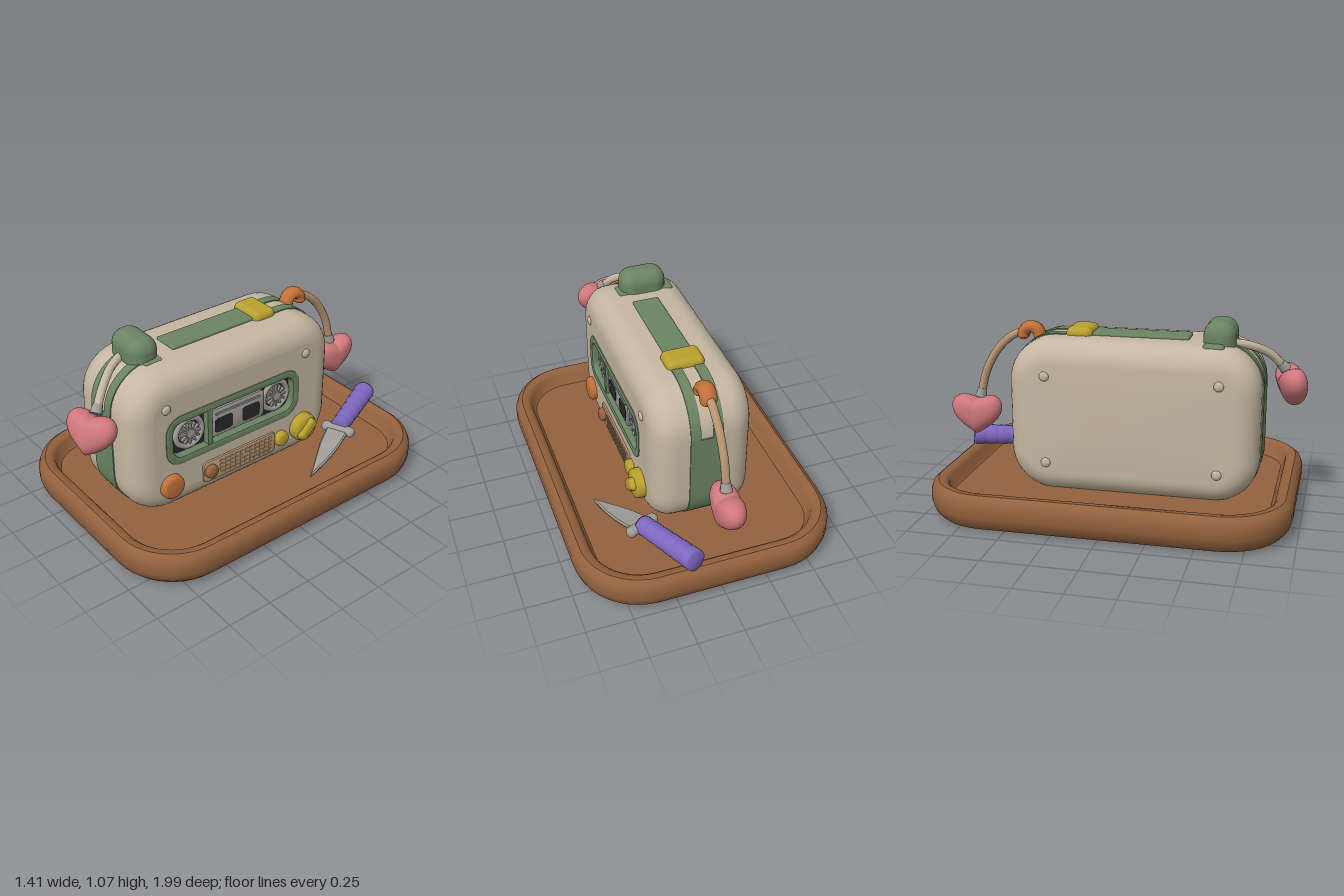
import * as THREE from 'three';
import { mergeVertices, toCreasedNormals } from 'three/addons/utils/BufferGeometryUtils.js';
import { RoundedBoxGeometry } from 'three/addons/geometries/RoundedBoxGeometry.js';

const colours = {
  cream: 0xc5b7a1, leafGreen: 0x6b8463, wood: 0x94623e, pink: 0xd0787b, purple: 0x7f67c0,
  yellow: 0xb9a02e, orange: 0xc37139, steel: 0x9f9c98, charcoal: 0x2a2a2a, tan: 0xb79672,
};

export function createModel() {
  const mat = {};
  for (const [name, color] of Object.entries(colours)) {
    mat[name] = new THREE.MeshStandardMaterial({ color });
    mat[name].name = name;
  }
  const model = new THREE.Group();
  model.name = 'cassettePlayerOnTray';

  const add = (parent, name, geo, m, x = 0, y = 0, z = 0) => {
    const mesh = new THREE.Mesh(geo, m);
    mesh.name = name;
    mesh.position.set(x, y, z);
    parent.add(mesh);
    return mesh;
  };
  const group = (name, parent = model) => {
    const g = new THREE.Group();
    g.name = name;
    parent.add(g);
    return g;
  };
  const roundRect = (cx, cy, w, h, r, Type = THREE.Shape) => {
    const s = new Type(), a = w / 2 - r, b = h / 2 - r;
    s.absarc(cx + a, cy - b, r, -Math.PI / 2, 0);
    s.absarc(cx + a, cy + b, r, 0, Math.PI / 2);
    s.absarc(cx - a, cy + b, r, Math.PI / 2, Math.PI);
    s.absarc(cx - a, cy - b, r, Math.PI, Math.PI * 1.5);
    s.closePath();
    return s;
  };
  // extrusion whose bevel stays inside the drawn outline and depth
  const extrude = (shape, depth, bevel, segs = 2) => toCreasedNormals(new THREE.ExtrudeGeometry(shape, {
    depth: depth - 2 * bevel, bevelEnabled: bevel > 0, bevelThickness: bevel, bevelSize: bevel,
    bevelOffset: -bevel, bevelSegments: segs, curveSegments: 10,
  }).translate(0, 0, bevel), 0.6);
  // stacked rounded-rectangle loops of [inset, height]; inset 1 closes at the centre
  const loft = (halfX, halfZ, radius, rows) => {
    const pos = [], idx = [], perCorner = 11, n = perCorner * 4;
    for (const [d, y] of rows) {
      for (let i = 0; i < n; i++) {
        const c = Math.floor(i / perCorner), a = (c + (i % perCorner) / (perCorner - 1)) * Math.PI / 2;
        const r = radius - d, sx = c === 0 || c === 3 ? 1 : -1, sz = c < 2 ? 1 : -1;
        if (d === 1) pos.push(0, y, 0);
        else pos.push(sx * (halfX - radius) + r * Math.cos(a), y, sz * (halfZ - radius) + r * Math.sin(a));
      }
    }
    for (let k = 0; k < rows.length - 1; k++) {
      for (let i = 0; i < n; i++) {
        const a = k * n + i, b = k * n + (i + 1) % n;
        idx.push(a, a + n, b, b, a + n, b + n);
      }
    }
    const geo = new THREE.BufferGeometry();
    geo.setAttribute('position', new THREE.Float32BufferAttribute(pos, 3));
    geo.setIndex(idx);
    return toCreasedNormals(geo, 0.7);
  };

  // Tray
  add(model, 'tray', loft(0.707, 0.98, 0.36, [[1, 0], [0.09, 0], [0.045, 0.012], [0.015, 0.045], [0, 0.09], [0, 0.145],
    [0.012, 0.178], [0.04, 0.2], [0.075, 0.198], [0.095, 0.18], [0.108, 0.13], [0.122, 0.118], [1, 0.118]]),
  mat.wood, 0, 0, -0.011);

  // Player: local x runs to the back, local z runs outwards to the model's left
  const player = group('player');
  player.rotation.y = Math.PI / 2;
  const bodyRows = [[1, -0.31]];
  for (const [o, start] of [[-0.18, 0], [0.11, 1]]) {
    for (let i = 0; i <= 8; i++) {
      const a = (start + i / 8) * Math.PI / 2;
      bodyRows.push([0.13 - 0.13 * Math.sin(a), o - 0.13 * Math.cos(a)]);
    }
  }
  add(player, 'bodyShell', loft(0.68, 0.425, 0.24, bodyRows).rotateX(Math.PI / 2), mat.cream, -0.09, 0.525, 0);
  const face = roundRect(-0.09, 0.525, 1.1, 0.59, 0.11);
  face.holes.push(roundRect(-0.12, 0.545, 0.87, 0.27, 0.085, THREE.Path));
  add(player, 'bodyFace', new THREE.ShapeGeometry(face, 10), mat.cream, 0, 0, 0.24);

  // Stripe bands: wide below, two prongs over each top corner
  const band = (name, o0, o1, upper, mirror) => {
    const side = (r) => {
      const pts = [];
      for (let i = 0; i <= 10; i++) {
        const a = upper ? Math.PI * (1 - i / 20) : Math.PI * (1.5 - i / 20);
        pts.push([-0.53 + r * Math.cos(a), (upper ? 0.71 : 0.34) + r * Math.sin(a)]);
      }
      pts.push(upper ? [-0.48, 0.71 + r] : [-0.53 - r, 0.71]);
      return pts;
    };
    const pts = [...side(0.246), ...side(0.21).reverse()]
      .map(([u, y]) => new THREE.Vector2(mirror ? -0.18 - u : u, y));
    add(player, name, extrude(new THREE.Shape(pts), o1 - o0, 0), mat.leafGreen, 0, 0, o0);
  };
  for (const mirror of [false, true]) {
    band('lowerStripe', -0.125, 0.052, false, mirror);
    band('stripeProng', -0.125, -0.07, true, mirror);
    band('stripeProng', -0.003, 0.052, true, mirror);
  }
  add(model, 'topStripe', new RoundedBoxGeometry(0.15, 0.03, 0.56, 2, 0.01), mat.leafGreen, -0.035, 0.95, 0.09);
  add(model, 'topClip', new RoundedBoxGeometry(0.21, 0.08, 0.145, 4, 0.035), mat.yellow, -0.035, 0.952, -0.227);
  add(model, 'topKnobBase', new RoundedBoxGeometry(0.325, 0.05, 0.115, 3, 0.02), mat.leafGreen, -0.072, 0.932, 0.515);
  add(model, 'topKnob', new RoundedBoxGeometry(0.262, 0.2, 0.17, 6, 0.075), mat.leafGreen, -0.067, 0.966, 0.535);

  // Recessed cassette window
  const panel = group('controlPanel', player);
  panel.position.z = 0.24;
  const frame = roundRect(-0.12, 0.545, 0.9, 0.3, 0.1);
  frame.holes.push(roundRect(-0.12, 0.545, 0.81, 0.21, 0.06, THREE.Path));
  add(panel, 'windowFrame', extrude(frame, 0.06, 0.008), mat.leafGreen, 0, 0, -0.054);
  add(panel, 'windowBack', extrude(roundRect(-0.12, 0.545, 0.84, 0.24, 0.07), 0.006, 0), mat.charcoal, 0, 0, -0.046);
  add(panel, 'windowDivider', new THREE.BoxGeometry(0.03, 0.22, 0.04), mat.leafGreen, -0.285, 0.545, -0.02);
  const deck = group('tapeDeck', panel);
  deck.position.z = -0.036;
  for (const u of [-0.4, 0.185]) {
    const reel = group('reel', deck);
    reel.position.set(u, 0.545, 0);
    add(reel, 'reelRim', new THREE.TorusGeometry(0.084, 0.016, 8, 32), mat.steel);
    add(reel, 'reelHub', new THREE.CylinderGeometry(0.026, 0.032, 0.04, 16).rotateX(Math.PI / 2), mat.steel);
    add(reel, 'reelDisc', new THREE.CylinderGeometry(0.062, 0.062, 0.01, 24).rotateX(Math.PI / 2), mat.steel);
    for (let i = 0; i < 12; i++) {
      const a = i * Math.PI / 6;
      const spoke = add(reel, 'reelSpoke', new THREE.BoxGeometry(0.036, 0.01, 0.025), mat.steel,
        0.046 * Math.cos(a), 0.046 * Math.sin(a), 0.005);
      spoke.rotation.z = a;
    }
  }
  add(deck, 'tapeBlock', extrude(roundRect(-0.09, 0.545, 0.36, 0.17, 0.025), 0.022, 0.005), mat.steel);
  for (const u of [-0.185, 0]) {
    add(deck, 'tapeOpening', extrude(roundRect(u, 0.524, 0.12, 0.088, 0.02), 0.006, 0), mat.charcoal, 0, 0, 0.018);
  }
  add(deck, 'tapeLabelRim', new THREE.BoxGeometry(0.3, 0.012, 0.012), mat.steel, -0.09, 0.6, 0.022);

  // Speaker grille with raised studs and a sliding switch
  add(panel, 'speakerGrille', extrude(roundRect(-0.09, 0.27, 0.5, 0.13, 0.025), 0.022, 0.006), mat.tan, 0, 0, -0.01);
  for (let i = 0; i < 11; i++) {
    for (let j = 0; j < 4; j++) {
      add(panel, 'grilleStud', new THREE.BoxGeometry(0.022, 0.016, 0.01), mat.tan,
        -0.22 + i * 0.034, 0.231 + j * 0.026, 0.011);
    }
  }
  const dial = (name, u, y, r, depth, m) => {
    const profile = [[r, -0.01], [r, depth * 0.5], [r * 0.92, depth * 0.8], [r * 0.65, depth * 0.96], [0, depth]]
      .map(([a, b]) => new THREE.Vector2(a, b));
    add(panel, name, new THREE.LatheGeometry(profile, 24).rotateX(Math.PI / 2), m, u, y, 0);
  };
  dial('grilleSwitch', -0.295, 0.275, 0.04, 0.045, mat.wood);
  dial('orangeButton', -0.545, 0.285, 0.07, 0.04, mat.orange);
  dial('smallYellowButton', 0.2, 0.275, 0.045, 0.04, mat.yellow);
  dial('volumeDial', 0.355, 0.295, 0.083, 0.06, mat.yellow);
  const ridge = add(panel, 'volumeDialRidge', new RoundedBoxGeometry(0.14, 0.075, 0.06, 4, 0.028), mat.yellow, 0.355, 0.295, 0.05);
  ridge.rotation.z = 0.75;

  // Screw heads on both broad faces
  for (const [x, ys] of [[0.24, [0.76]], [-0.31, [0.28, 0.76]]]) {
    for (const y of ys) for (const z of [0.56, -0.37]) {
      add(model, 'screwHead', new THREE.SphereGeometry(0.027, 12, 8).scale(0.5, 1, 1), mat.cream, x, y, z);
    }
  }

  // Cords with cuffs
  const cord = (name, m, pts) => {
    const curve = new THREE.CatmullRomCurve3(pts.map((p) => new THREE.Vector3(...p)));
    add(model, name, new THREE.TubeGeometry(curve, 28, 0.023, 10), m);
    const end = curve.getPoint(0.97);
    const cuff = add(model, name + 'Cuff', new THREE.CylinderGeometry(0.025, 0.033, 0.05, 12), mat.steel, end.x, end.y, end.z);
    cuff.quaternion.setFromUnitVectors(new THREE.Vector3(0, -1, 0), curve.getTangent(0.97));
  };
  cord('frontCord', mat.cream, [[-0.1, 0.95, 0.58], [-0.05, 0.925, 0.69], [0.02, 0.87, 0.79], [0.07, 0.79, 0.86]]);
  cord('backCord', mat.tan, [[-0.05, 0.94, -0.53], [-0.05, 0.93, -0.6], [-0.05, 0.85, -0.7], [-0.05, 0.72, -0.78], [-0.05, 0.56, -0.825]]);
  const hook = add(player, 'cordHook', new THREE.TorusGeometry(0.046, 0.034, 10, 16, Math.PI), mat.orange, 0.515, 0.924, -0.048);
  hook.scale.z = 1.35;
  for (const u of [0.469, 0.561]) {
    add(player, 'hookTip', new THREE.SphereGeometry(0.034, 12, 8).scale(1, 0.8, 1.35), mat.orange, u, 0.924, -0.048);
  }

  // Puffy hearts: a sphere whose rings follow a heart outline
  let heartGeo = new THREE.SphereGeometry(1, 40, 24);
  const p = heartGeo.attributes.position, uv = heartGeo.attributes.uv;
  for (let i = 0; i < p.count; i++) {
    const t = uv.getX(i) * Math.PI * 2, v = Math.acos(THREE.MathUtils.clamp(p.getY(i), -1, 1));
    const s = Math.sin(v) ** 0.7;
    const hx = 0.147 * Math.sign(Math.sin(t)) * Math.abs(Math.sin(t)) ** 1.9;
    const hy = 13 * Math.cos(t) - 3.2 * Math.cos(2 * t) - 1.3 * Math.cos(3 * t) - 0.4 * Math.cos(4 * t);
    p.setXYZ(i, -hx * s, 0.0087 * hy * s, 0.073 * Math.cos(v));
  }
  heartGeo.deleteAttribute('uv');
  heartGeo.deleteAttribute('normal');
  heartGeo = mergeVertices(heartGeo, 1e-5);
  heartGeo.computeVertexNormals();
  add(model, 'frontHeart', heartGeo, mat.pink, 0.085, 0.703, 0.905).rotation.set(-0.3, 0.33, 0, 'YXZ');
  add(model, 'backHeart', heartGeo, mat.pink, -0.05, 0.467, -0.853).rotation.y = Math.PI / 2;

  // Knife: handle towards local -z over the rim, blade sloping down towards +z
  const knife = group('knife');
  knife.position.set(0.315, 0.218, -0.585);
  knife.rotation.set(0.09, 0.41, 0, 'YXZ');
  const blade = new THREE.Shape();
  blade.moveTo(-0.062, 0);
  blade.lineTo(0.062, 0);
  blade.quadraticCurveTo(0.08, 0.17, 0.007, 0.4);
  blade.lineTo(-0.05, 0.15);
  add(knife, 'blade', extrude(blade, 0.024, 0.008, 1).rotateX(Math.PI / 2), mat.steel, 0, 0.008, 0).rotation.x = 0.14;
  add(knife, 'guard', new RoundedBoxGeometry(0.2, 0.055, 0.06, 4, 0.025), mat.steel, 0, -0.008, 0);
  const grip = [new THREE.Vector2(0, 0)];
  for (let i = 0; i < 6; i++) {
    for (const [r, f] of [[0.05, 0], [0.053, 0.2], [0.053, 0.8], [0.05, 1]]) {
      grip.push(new THREE.Vector2(r + i * 0.0013, (i + f) * 0.068));
    }
  }
  grip.push(new THREE.Vector2(0, 0.412));
  add(knife, 'handle', new THREE.LatheGeometry(grip, 20).rotateX(-Math.PI / 2), mat.purple);
  return model;
}
